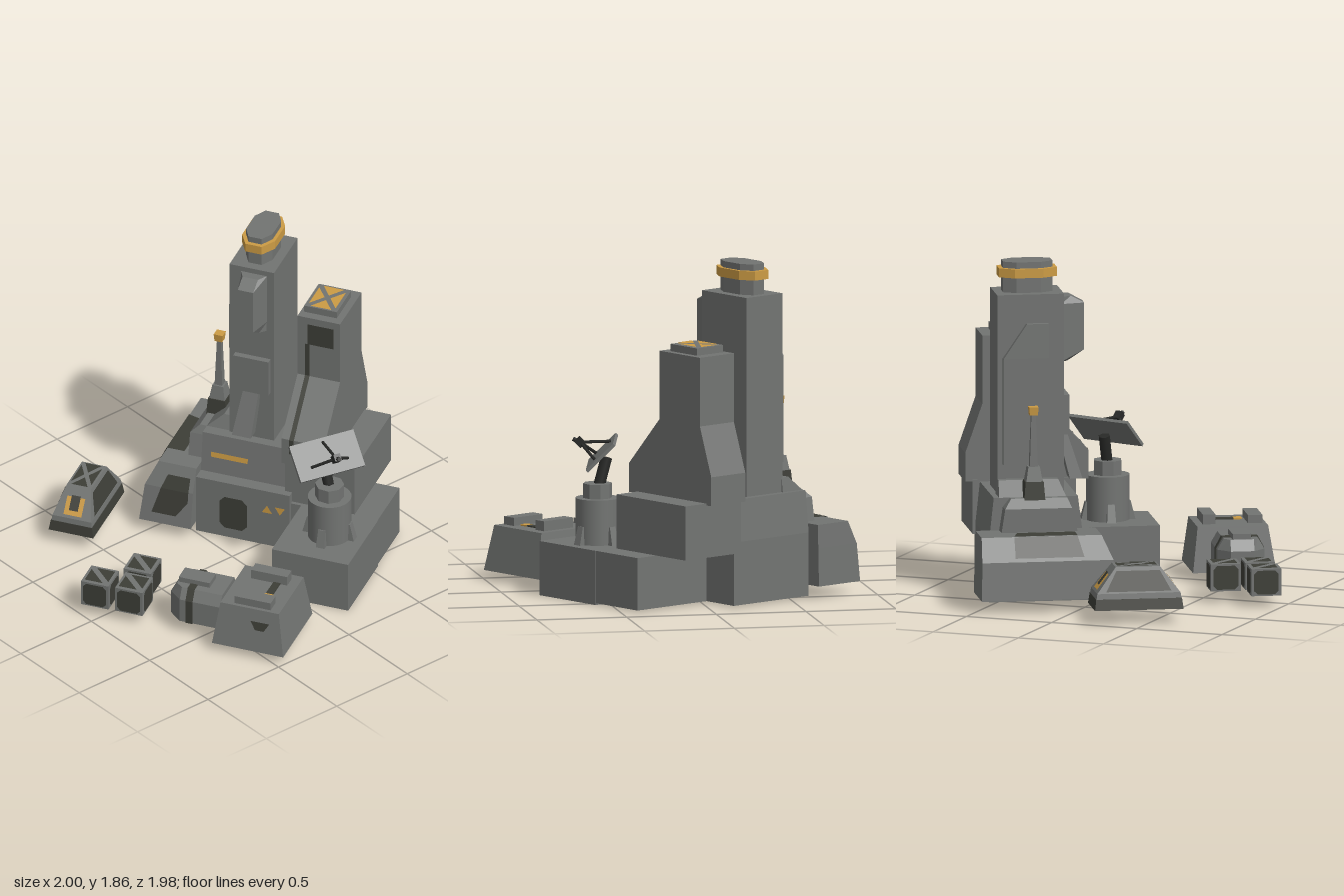
import * as THREE from 'three';

const mat = (name, color, side = THREE.FrontSide) => {
  const m = new THREE.MeshStandardMaterial({ color, side });
  m.name = name;
  return m;
};

export function createModel() {
  const hull = mat('hullGrey', 0x727472);
  const dark = mat('darkPanel', 0x3d3e37, THREE.DoubleSide);
  const black = mat('blackMetal', 0x282927);
  const orange = mat('orangeTrim', 0xcc9b44, THREE.DoubleSide);

  const model = new THREE.Group();
  model.name = 'outpost';
  const base = new THREE.Group(); // everything square to the building
  base.name = 'compound';
  base.rotation.y = Math.PI / 6;
  model.add(base);

  const add = (name, geo, material, parent = base) => {
    const m = new THREE.Mesh(geo, material);
    m.name = name;
    parent.add(m);
    return m;
  };
  const fromTriangles = (pts) => {
    const g = new THREE.BufferGeometry();
    g.setAttribute('position', new THREE.Float32BufferAttribute(pts.flat(), 3));
    g.computeVertexNormals();
    return g;
  };
  // Flat polygon through 3D points
  const panel = (name, pts, material, parent) => {
    const t = [];
    for (let i = 1; i < pts.length - 1; i++) t.push(pts[0], pts[i], pts[i + 1]);
    return add(name, fromTriangles(t), material, parent);
  };
  // Closed solid through stacked rings [y, [[x, z], ...]]
  const rings = (name, list, material, parent) => {
    const r = list.map(([y, p]) => p.map(([x, z]) => [x, y, z]));
    const n = r[0].length, t = [];
    for (let k = 0; k < r.length - 1; k++)
      for (let i = 0; i < n; i++) {
        const j = (i + 1) % n, a = r[k], b = r[k + 1];
        t.push(a[i], a[j], b[j], a[i], b[j], b[i]);
      }
    const bot = r[0], top = r[r.length - 1];
    for (let i = 1; i < n - 1; i++) t.push(top[0], top[i], top[i + 1], bot[0], bot[i + 1], bot[i]);
    return add(name, fromTriangles(t), material, parent);
  };
  // Same, for rectangular levels [y, x0, x1, z0, z1]
  const loft = (name, levels, material = hull, parent = base) =>
    rings(name, levels.map(([y, a, b, c, d]) => [y, [[a, d], [b, d], [b, c], [a, c]]]), material, parent);
  const block = (name, x0, x1, y0, y1, z0, z1, material, parent) =>
    loft(name, [[y0, x0, x1, z0, z1], [y1, x0, x1, z0, z1]], material, parent);
  // Four triangles leaving a cross between them, facing up
  const crossPanel = (name, x, y, z, w, d, material, parent) => {
    const g = 0.22, t = [];
    for (let k = 0; k < 4; k++) {
      const c = [[-1 + g, 1], [1 - g, 1], [0, g]].map(([a, b]) => {
        for (let i = 0; i < k; i++) [a, b] = [b, -a];
        return [x + a * w / 2, y, z + b * d / 2];
      });
      t.push(...c);
    }
    return add(name, fromTriangles(t), material, parent);
  };
  const chamfered = (w, h, c) => new THREE.ShapeGeometry(new THREE.Shape([
    [-w + c, -h], [w - c, -h], [w, -h + c], [w, h - c], [w - c, h], [-w + c, h], [-w, h - c], [-w, -h + c],
  ].map((p) => new THREE.Vector2(...p))));

  // Main building
  block('mainBase', -0.27, 0.275, 0.01, 0.36, -0.755, -0.16, hull);
  loft('mainUpper', [[0.36, -0.27, 0.275, -0.755, -0.235], [0.59, -0.27, 0.24, -0.73, -0.265]]);
  loft('roofWedge', [[0.59, -0.27, -0.13, -0.7, -0.33], [0.67, -0.18, -0.13, -0.69, -0.36]]);
  block('rearBase', 0.27, 0.778, 0.01, 0.3, -0.53, -0.18, hull);
  block('rearBlock', 0.235, 0.64, 0.3, 0.6, -0.77, -0.2, hull);
  block('rightBase', 0.335, 0.78, 0, 0.3, -0.185, 0.28, hull);
  add('door', chamfered(0.08, 0.1, 0.03), dark).position.set(-0.052, 0.17, -0.155);
  const wallZ = (y) => -0.235 - (y - 0.36) * 0.13 + 0.005;
  panel('wallStripe', [[-0.215, 0.455], [0, 0.455], [0, 0.485], [-0.215, 0.485]]
    .map(([x, y]) => [x, y, wallZ(y)]), orange);
  panel('signUp', [[0.115, 0.222, -0.155], [0.175, 0.222, -0.155], [0.145, 0.27, -0.155]], orange);
  panel('signDown', [[0.22, 0.222, -0.155], [0.25, 0.27, -0.155], [0.19, 0.27, -0.155]], orange);

  // Left wing: tapered block with a narrow upper tier
  loft('leftWing', [[0.07, -0.57, -0.27, -0.84, -0.073], [0.28, -0.55, -0.27, -0.835, -0.11],
    [0.41, -0.49, -0.27, -0.83, -0.167]]);
  loft('wingTier', [[0.41, -0.36, -0.26, -0.7, -0.28], [0.54, -0.36, -0.26, -0.68, -0.31], [0.59, -0.31, -0.26, -0.64, -0.33]]);
  // Front window bends with the wall; skylight wraps over the roof edge
  const wingZ = (y) => (y < 0.28 ? -0.073 - 0.176 * (y - 0.07) : -0.11 - 0.438 * (y - 0.28)) + 0.005;
  const wingX = (y) => -0.55 + 0.4615 * (y - 0.28) - 0.005;
  [[[-0.5, 0.13], [-0.36, 0.13], [-0.295, 0.22], [-0.295, 0.28], [-0.455, 0.28]],
    [[-0.455, 0.28], [-0.295, 0.28], [-0.295, 0.355], [-0.425, 0.355]]]
    .forEach((p) => panel('wingWindow', p.map(([x, y]) => [x, y, wingZ(y)]), dark));
  panel('wingSkylightSide', [[-0.65, 0.3], [-0.27, 0.3], [-0.3, 0.41], [-0.65, 0.41]]
    .map(([z, y]) => [wingX(y), y, z]), dark);
  panel('wingSkylightTop', [[-0.493, 0.414, -0.65], [-0.493, 0.414, -0.3], [-0.39, 0.414, -0.3], [-0.39, 0.414, -0.62]], dark);

  // Tall tower
  block('tallTower', -0.135, 0.125, 0.59, 1.69, -0.69, -0.32, hull);
  loft('towerSidePod', [[0.75, -0.17, -0.13, -0.66, -0.6], [1.08, -0.17, -0.13, -0.66, -0.41],
    [1.34, -0.17, -0.13, -0.66, -0.41], [1.53, -0.165, -0.13, -0.53, -0.41]]);
  rings('towerFrontPod', [[1.3, -0.29], [1.36, -0.195], [1.62, -0.195], [1.66, -0.27]]
    .map(([y, z]) => [y, [[-0.04, z], [0.05, z], [0.085, -0.325], [-0.07, -0.325]]]), hull);
  block('towerFrontBox', -0.1, 0.105, 0.9, 1.12, -0.33, -0.285, hull);
  loft('towerStrut', [[0.65, -0.08, 0.03, -0.28, -0.21], [0.9, -0.045, 0.045, -0.34, -0.29]]);
  const octagon = (a, b) => [[-a / 2, b], [a / 2, b], [a, b / 2], [a, -b / 2], [a / 2, -b], [-a / 2, -b], [-a, -b / 2], [-a, b / 2]]
    .map(([x, z]) => [x - 0.005, z - 0.508]);
  const prism = (name, a, b, y0, y1, m) => rings(name, [[y0, octagon(a, b)], [y1, octagon(a, b)]], m);
  prism('towerCap', 0.077, 0.136, 1.69, 1.86, hull);
  prism('towerCapBand', 0.096, 0.16, 1.775, 1.825, orange);

  // Shorter flared tower
  loft('flaredTower', [[0.59, 0.24, 0.488, -0.81, -0.13], [0.75, 0.24, 0.488, -0.81, -0.13],
    [1.02, 0.24, 0.488, -0.716, -0.38], [1.4, 0.24, 0.488, -0.716, -0.38]]);
  block('flaredTowerCap', 0.26, 0.45, 1.4, 1.44, -0.65, -0.43, hull);
  crossPanel('capCross', 0.355, 1.444, -0.54, 0.155, 0.21, orange);
  panel('towerPanel', [[0.3, 1.23, -0.375], [0.45, 1.23, -0.375], [0.45, 1.36, -0.375], [0.3, 1.36, -0.375]], dark);
  const path = [[0.66, -0.125], [0.75, -0.125], [1.025, -0.375], [1.23, -0.375]];
  for (let i = 0; i < 3; i++) {
    const [[y0, z0], [y1, z1]] = [path[i], path[i + 1]];
    panel('towerGroove', [[0.285, y0, z0], [0.312, y0, z0], [0.312, y1, z1], [0.285, y1, z1]], dark);
  }

  // Antenna mast
  const square = (name, h0, h1, y0, y1, m) =>
    loft(name, [[y0, h0], [y1, h1]].map(([y, h]) => [y, -0.262 - h, -0.262 + h, -0.51 - h, -0.51 + h]), m);
  square('antennaFoot', 0.058, 0.05, 0.58, 0.68, dark);
  square('antennaBase', 0.045, 0.032, 0.68, 0.76, hull);
  square('antennaMast', 0.022, 0.012, 0.76, 1.05, hull);
  square('antennaLamp', 0.022, 0.026, 1.045, 1.09, orange);

  // Dish on a round pedestal
  const dish = new THREE.Group();
  dish.name = 'dish';
  dish.position.set(0.515, 0, -0.265);
  model.add(dish);
  add('pedestal', new THREE.CylinderGeometry(0.12, 0.12, 0.25, 24), hull, dish).position.y = 0.425;
  for (let i = 0; i < 4; i++) {
    const arm = new THREE.Group();
    arm.name = 'pedestalFoot';
    arm.rotation.y = i * Math.PI / 2 + Math.PI / 6;
    dish.add(arm);
    loft('foot', [[0.3, -0.025, 0.025, 0.09, 0.15], [0.4, -0.02, 0.02, 0.09, 0.125]], hull, arm);
  }
  const collar = new THREE.CylinderGeometry(0.08, 0.08, 0.08, 8).toNonIndexed();
  collar.computeVertexNormals();
  add('collar', collar, hull, dish).position.y = 0.59;
  const rod = (name, a, b, r, m, parent) => {
    const p = new THREE.Vector3(...a), q = new THREE.Vector3(...b);
    const mesh = add(name, new THREE.CylinderGeometry(r, r, p.distanceTo(q), 6), m, parent);
    mesh.position.copy(p).lerp(q, 0.5);
    mesh.quaternion.setFromUnitVectors(new THREE.Vector3(0, 1, 0), q.sub(p).normalize());
  };
  rod('dishPole', [-0.01, 0.62, 0], [-0.05, 0.77, 0], 0.033, black, dish);
  const head = new THREE.Group();
  head.name = 'dishHead';
  head.position.set(-0.025, 0.797, 0);
  head.rotation.set(0, -0.24, -0.78, 'YXZ');
  dish.add(head);
  add('dishPlate', new THREE.BoxGeometry(0.21, 0.018, 0.39), hull, head);
  const feed = [0.045, 0.125, 0];
  [[-0.08, 0.01, 0], [0.04, 0.01, 0.11], [0.04, 0.01, -0.11]].forEach((p) => rod('feedStrut', p, feed, 0.009, black, head));
  add('feed', new THREE.BoxGeometry(0.04, 0.05, 0.04), black, head).position.set(...feed);
  rod('feedTip', feed, [0.06, 0.165, 0], 0.013, black, head);

  // Large vehicle
  const truck = new THREE.Group();
  truck.name = 'truck';
  truck.position.set(0.008, 0, 0.006);
  base.add(truck);
  loft('truckBody', [[0.05, 0.21, 0.625, 0.44, 0.9], [0.3, 0.245, 0.585, 0.47, 0.86]], hull, truck);
  const frontZ = (y) => 0.905 - 0.16 * (y - 0.05);
  panel('truckVent', [[0.455, 0.18], [0.505, 0.18], [0.535, 0.23], [0.425, 0.23]].map(([x, y]) => [x, y, frontZ(y)]), dark, truck);
  block('truckHatchRear', 0.32, 0.53, 0.3, 0.355, 0.51, 0.58, hull, truck);
  block('truckHatchFront', 0.32, 0.53, 0.3, 0.345, 0.76, 0.84, hull, truck);
  block('truckRoofStrip', 0.45, 0.49, 0.3, 0.307, 0.58, 0.7, dark, truck);
  block('truckRoofLamp', 0.445, 0.495, 0.3, 0.308, 0.7, 0.745, orange, truck);
  const cab = (d) => [[-0.015, 0.8 - d], [0.22, 0.8 - d], [0.22, 0.54 + d], [-0.015, 0.54 + d], [-0.09 + d, 0.605], [-0.09 + d, 0.735]];
  rings('truckCab', [[0.08, cab(0)], [0.22, cab(0)], [0.28, cab(0.035)]], hull, truck);
  loft('cabBand', [[0.078, 0.02, 0.06, 0.536, 0.804], [0.22, 0.02, 0.06, 0.536, 0.804], [0.285, 0.02, 0.06, 0.571, 0.769]], dark, truck);
  block('cabRoofBox', -0.05, 0.13, 0.28, 0.31, 0.62, 0.72, hull, truck);

  // Crates
  [[-0.325, 0.533], [-0.303, 0.726], [-0.5, 0.73]].forEach(([x, z]) => {
    const crate = new THREE.Group();
    crate.name = 'crate';
    crate.position.set(x, 0.137, z);
    base.add(crate);
    add('crateBox', new THREE.BoxGeometry(0.16, 0.15, 0.165), hull, crate);
    for (let i = 0; i < 4; i++) {
      const a = i * Math.PI / 2, r = (i % 2 ? 0.08 : 0.0825) + 0.003;
      const p = add('crateSide', chamfered(0.068, 0.066, 0.02), dark, crate);
      p.rotation.y = a;
      p.position.set(Math.sin(a) * r, 0, Math.cos(a) * r);
    }
    for (const s of [1, -1])
      panel('crateLidPanel', [[-0.065, -0.045], [-0.065, 0.065], [0.04, 0.065]].map(([a, b]) => [s * a, 0.078, s * b]), dark, crate);
  });

  // Small buggy
  const buggy = new THREE.Group();
  buggy.name = 'buggy';
  buggy.position.set(-0.862, 0, -0.034);
  base.add(buggy);
  const hx = (y) => 0.113 - 0.3 * (y - 0.17), hz = (y) => 0.23 - 0.77 * (y - 0.17);
  loft('buggySkirt', [[0.08, -0.13, 0.13, -0.245, 0.245], [0.14, -0.12, 0.12, -0.237, 0.237]], dark, buggy);
  loft('buggyBody', [[0.14, -0.118, 0.118, -0.235, 0.235],
    ...[0.17, 0.31].map((y) => [y, -hx(y), hx(y), -hz(y), hz(y)])], hull, buggy);
  crossPanel('buggyRoof', 0, 0.314, 0, 0.12, 0.22, dark, buggy);
  for (const e of [1, -1]) {
    const end = (name, w, y0, y1, o, m) => panel(name, [[-w, y0], [w, y0], [w, y1], [-w, y1]]
      .map(([x, y]) => [x, y, e * (hz(y) + o)]), m, buggy);
    end('buggyEndFrame', 0.052, 0.185, 0.267, 0.004, orange);
    end('buggyEndGrille', 0.026, 0.208, 0.275, 0.008, dark);
    panel('buggySideWindow', [[-0.18, 0.18], [0.18, 0.18], [0.12, 0.29], [-0.12, 0.29]]
      .map(([z, y]) => [e * (hx(y) + 0.004), y, z]), dark, buggy);
  }
  return model;
}
